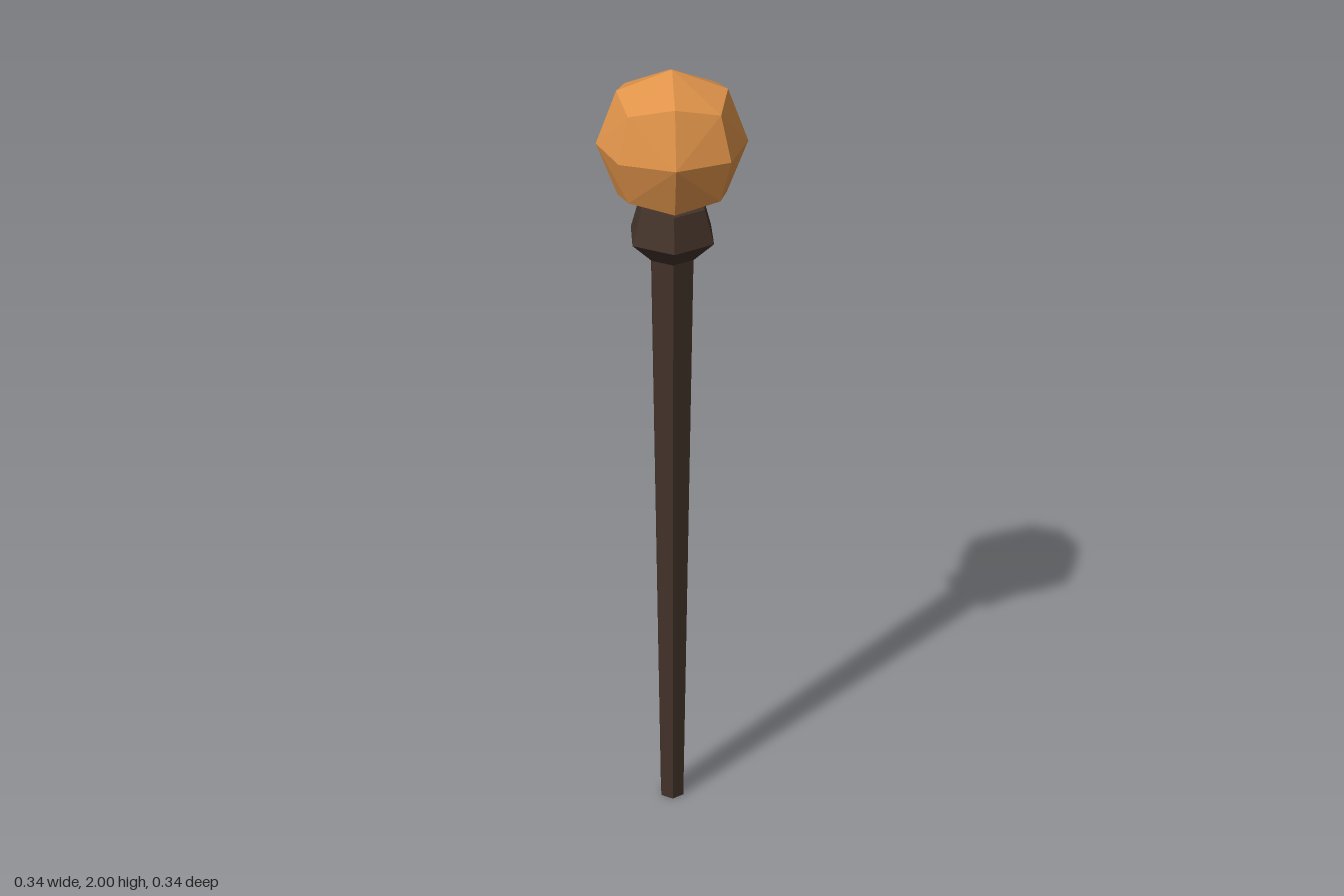
import * as THREE from 'three';
import { ConvexGeometry } from 'three/addons/geometries/ConvexGeometry.js';

const orange = new THREE.MeshStandardMaterial({ name: 'orange', color: 0xe0934a });
const darkWood = new THREE.MeshStandardMaterial({ name: 'dark wood', color: 0x43332a });

// Six-sided tapered section between two heights
function hexSection(name, rBottom, rTop, y0, y1, open) {
  const geometry = new THREE.CylinderGeometry(rTop, rBottom, y1 - y0, 6, 1, open).toNonIndexed();
  geometry.computeVertexNormals();
  const mesh = new THREE.Mesh(geometry, darkWood);
  mesh.name = name;
  mesh.position.y = (y0 + y1) / 2;
  return mesh;
}

export function createModel() {
  const model = new THREE.Group();
  model.name = 'staff';

  // Tapered shaft
  model.add(hexSection('shaft', 0.033, 0.055, 0, 1.55, false));

  // Flared collar under the knob
  const collar = new THREE.Group();
  collar.name = 'collar';
  collar.add(hexSection('collarFlare', 0.056, 0.107, 1.55, 1.6, true));
  const cup = hexSection('collarCup', 0.107, 0.083, 1.6, 1.68, false);
  collar.add(cup);
  model.add(collar);

  // Faceted knob: a rounded cube with two divisions per face
  const reach = [0, 0.171, 0.124, 0.102];
  const points = [];
  for (let x = -1; x <= 1; x++)
    for (let y = -1; y <= 1; y++)
      for (let z = -1; z <= 1; z++) {
        const used = Math.abs(x) + Math.abs(y) + Math.abs(z);
        if (used) points.push(new THREE.Vector3(x, y, z).multiplyScalar(reach[used]));
      }
  const knob = new THREE.Mesh(new ConvexGeometry(points), orange);
  knob.name = 'knob';
  knob.position.y = 1.829;
  model.add(knob);

  return model;
}
